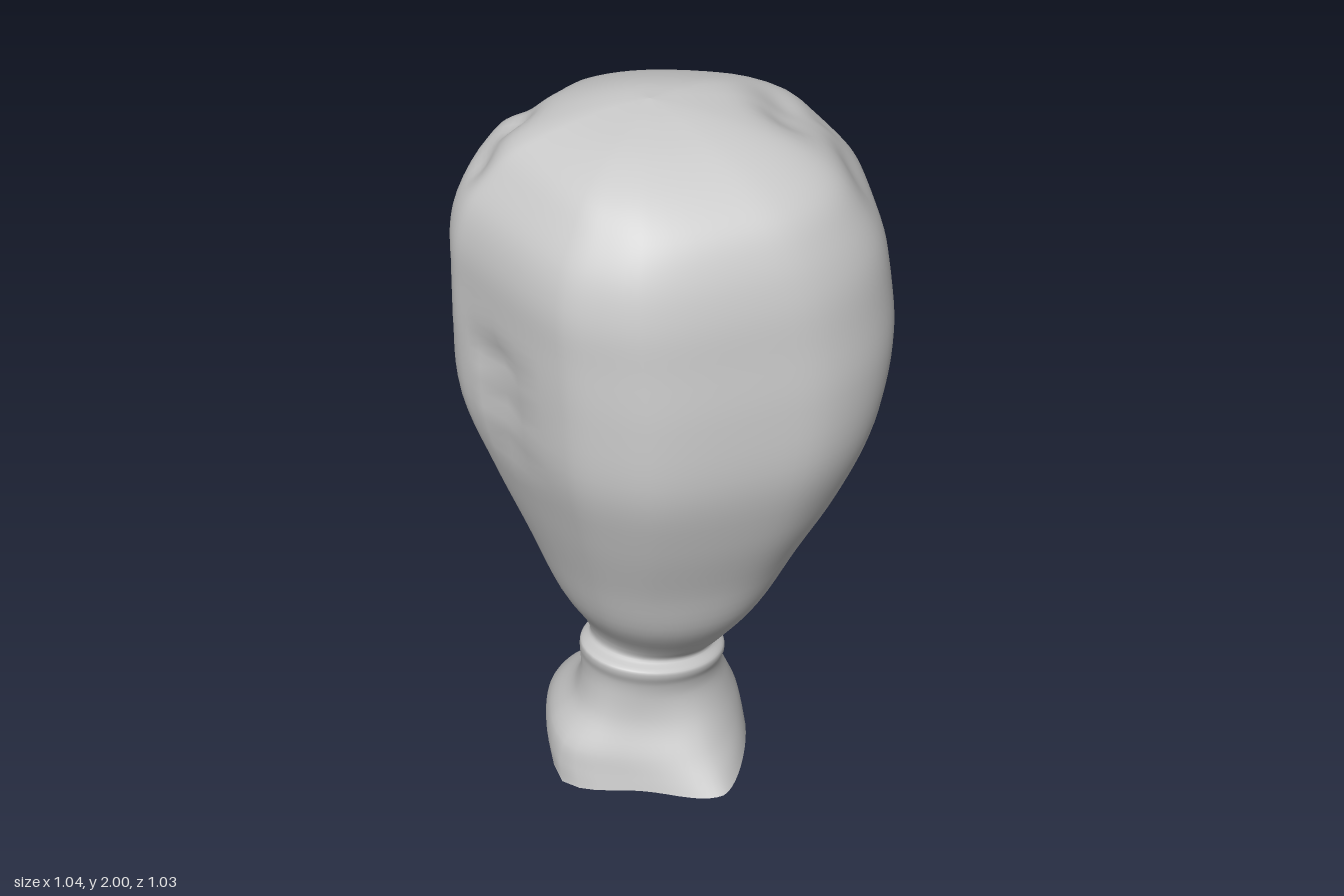
import * as THREE from 'three';

const SIDES = 80;
const STEPS = 5; // smooth steps between two cross-sections

// plan outline of the bulb at its widest, as [x, z]
const outline = [
  [0.51, -0.075], [0.5, 0.07], [0.45, 0.18], [0.3, 0.41], [0.18, 0.485], [0.02, 0.51],
  [-0.13, 0.475], [-0.38, 0.365], [-0.47, 0.26], [-0.513, 0.16], [-0.51, -0.2], [-0.5, -0.28],
  [-0.45, -0.36], [-0.31, -0.465], [-0.15, -0.513], [0.03, -0.5], [0.2, -0.42], [0.4, -0.23],
];
const plan = new THREE.CatmullRomCurve3(
  outline.map(([x, z]) => new THREE.Vector3(x / 0.513, 0, z / 0.513)), true, 'centripetal');

// cross-sections: height, x from, x to, z from, z to
const rings = [
  // flared foot
  [0.025, -0.38, 0.19, -0.4, 0.27],
  [0.06, -0.375, 0.19, -0.395, 0.24],
  [0.12, -0.36, 0.18, -0.345, 0.19],
  [0.2, -0.3, 0.145, -0.26, 0.14],
  // neck and collar
  [0.27, -0.28, 0.12, -0.225, 0.12],
  [0.315, -0.28, 0.11, -0.225, 0.125],
  [0.35, -0.29, 0.11, -0.215, 0.14],
  [0.368, -0.288, 0.105, -0.21, 0.14],
  [0.39, -0.255, 0.085, -0.2, 0.115],
  // bulb
  [0.44, -0.26, 0.115, -0.23, 0.15],
  [0.62, -0.345, 0.195, -0.3, 0.275],
  [0.8, -0.4, 0.295, -0.365, 0.35],
  [1.0, -0.455, 0.39, -0.44, 0.44],
  [1.2, -0.5, 0.465, -0.5, 0.505],
  [1.4, -0.51, 0.513, -0.51, 0.515],
  [1.55, -0.512, 0.51, -0.505, 0.5],
  [1.68, -0.51, 0.485, -0.485, 0.48],
  [1.78, -0.485, 0.425, -0.45, 0.445],
  [1.86, -0.435, 0.36, -0.4, 0.395],
  [1.92, -0.38, 0.275, -0.32, 0.31],
  [1.965, -0.285, 0.15, -0.22, 0.2],
  [1.99, -0.17, 0.03, -0.13, 0.08],
  [2.0, -0.08, -0.08, -0.04, -0.04],
];

// dents (and bumps, when the depth is negative): centre, size, depth
const dents = [
  // crescent on the front left of the crown
  [0.2, 1.92, 0.12, 0.07, 0.025], [0.27, 1.88, 0.04, 0.09, 0.045], [0.36, 1.8, 0.04, 0.07, 0.02],
  [0.3, 1.78, 0.22, 0.09, 0.015],
  // creases over the back right shoulder
  [-0.15, 1.86, -0.36, 0.06, 0.04], [-0.27, 1.87, -0.3, 0.06, 0.045], [-0.38, 1.82, -0.27, 0.06, 0.035],
  [-0.22, 1.78, -0.42, 0.05, -0.012],
  // groove and folds down the back right
  [-0.32, 1.64, -0.43, 0.05, 0.02], [-0.32, 1.54, -0.44, 0.05, 0.025], [-0.34, 1.45, -0.42, 0.04, -0.015],
  [-0.43, 1.6, -0.34, 0.06, 0.025], [-0.42, 1.5, -0.34, 0.06, 0.025], [-0.4, 1.4, -0.35, 0.06, 0.02],
  // long dent on the right side
  [-0.5, 1.42, -0.1, 0.06, 0.03], [-0.5, 1.3, -0.07, 0.06, 0.03], [-0.49, 1.18, -0.06, 0.06, 0.02],
];

// a cross-section: diamond-like at the foot, round at the neck, outlined higher up
function section([y, x0, x1, z0, z1]) {
  const blend = THREE.MathUtils.smoothstep(y, 0.4, 1.3);
  const p = THREE.MathUtils.lerp(1.4, 2, Math.min(y / 0.25, 1));
  const collar = Math.exp(-(((y - 0.36) / 0.13) ** 2));
  const ring = [];
  for (let j = 0; j < SIDES; j++) {
    const o = plan.getPoint(j / SIDES);
    const a = Math.atan2(o.z, o.x), c = Math.cos(a), s = Math.sin(a);
    const r = (Math.abs(c) ** p + Math.abs(s) ** p) ** (-1 / p);
    const u = THREE.MathUtils.lerp(r * c, o.x, blend), v = THREE.MathUtils.lerp(r * s, o.z, blend);
    // the foot's slanted sides sit a little towards the back left
    const skew = 0.025 * Math.max(0, 1 - y / 0.3) * Math.sin(2 * a) ** 2;
    const x = (x0 + x1) / 2 + u * (x1 - x0) / 2 + skew;
    const z = (z0 + z1) / 2 + v * (z1 - z0) / 2 - skew;
    // the collar leans, and the foot dips at one corner
    const lean = collar * (-0.22 * (x + 0.09) + 0.08 * (z + 0.04));
    const dip = y < 0.05 ? -0.025 * Math.max(0, -u) ** 4 : 0;
    ring.push(new THREE.Vector3(x, y + lean + dip, z));
  }
  return ring;
}

// press the dents in towards the middle of the bulb
function press(v) {
  const core = new THREE.Vector3(0, 1.3, 0);
  let push = 0;
  for (const [x, y, z, size, depth] of dents) {
    const d2 = (v.x - x) ** 2 + (v.y - y) ** 2 + (v.z - z) ** 2;
    push += depth * Math.exp(-d2 / (size * size));
  }
  return v.addScaledVector(core.sub(v).normalize(), push);
}

// one smooth skin over the stack of cross-sections, open under the foot
function skin() {
  const sections = rings.map(section);
  const rows = (rings.length - 1) * STEPS + 1;
  const positions = [], index = [];
  for (let j = 0; j < SIDES; j++) {
    const curve = new THREE.CatmullRomCurve3(sections.map((s) => s[j]), false, 'centripetal');
    for (let i = 0; i < rows; i++) {
      const v = press(curve.getPoint(i / (rows - 1)));
      positions.push(v.x, v.y, v.z);
    }
  }
  for (let j = 0; j < SIDES; j++) {
    for (let i = 0; i < rows - 1; i++) {
      const a = j * rows + i, b = ((j + 1) % SIDES) * rows + i;
      index.push(a, a + 1, b, b, a + 1, b + 1);
    }
  }
  const geometry = new THREE.BufferGeometry();
  geometry.setAttribute('position', new THREE.Float32BufferAttribute(positions, 3));
  geometry.setIndex(index);
  geometry.computeVertexNormals();
  return geometry;
}

export function createModel() {
  const group = new THREE.Group();
  group.name = 'bulbOnNeck';
  const body = new THREE.Mesh(skin(),
    new THREE.MeshStandardMaterial({ color: 0xcccccc, side: THREE.DoubleSide }));
  body.name = 'bulbWithFlaredNeck';
  group.add(body);
  return group;
}
